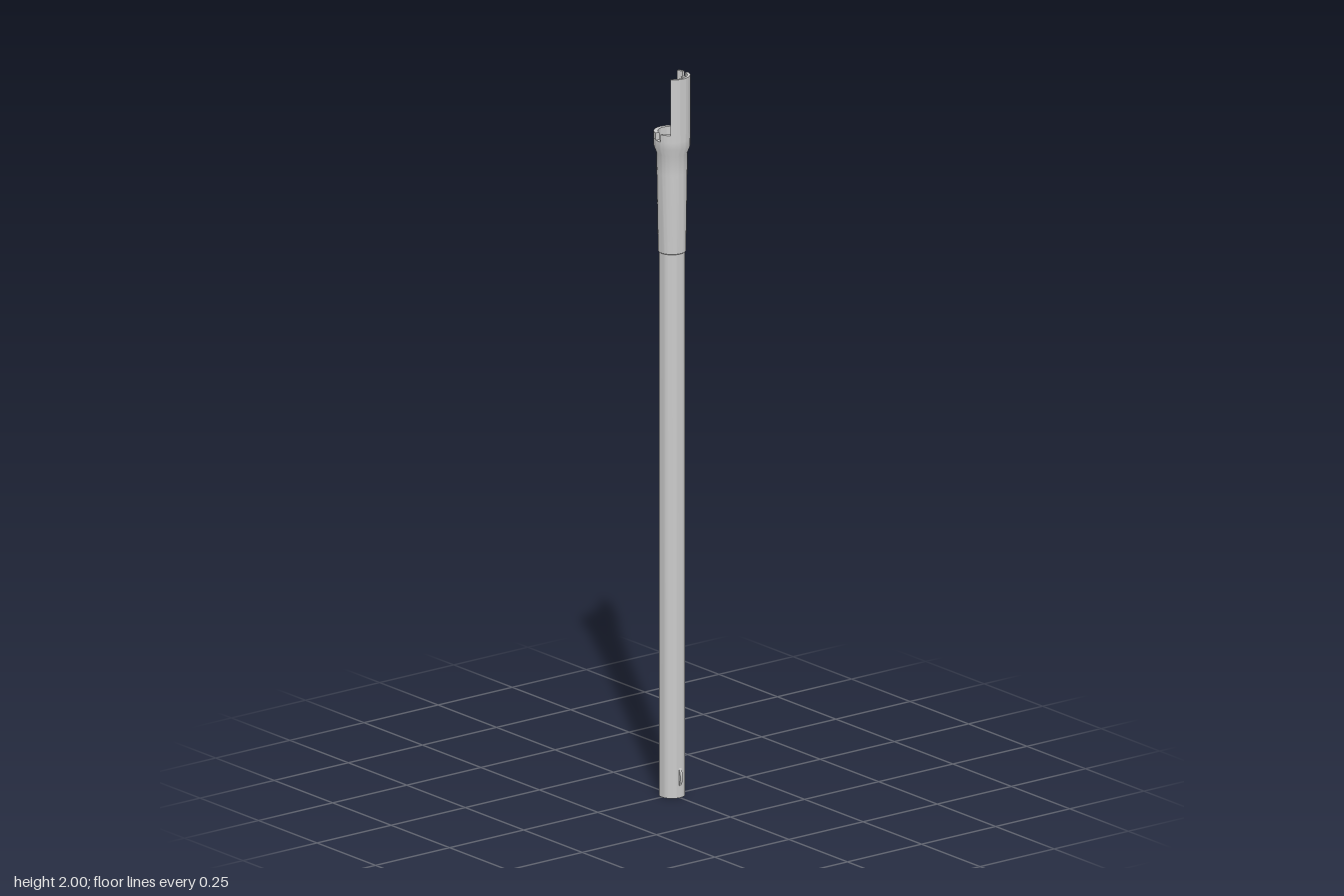
import * as THREE from 'three';
import { toCreasedNormals } from 'three/addons/utils/BufferGeometryUtils.js';

const RAD = Math.PI / 180;

export function createModel() {
  const model = new THREE.Group();
  const material = new THREE.MeshStandardMaterial({ color: 0xcccccc });

  function add(name, geometry) {
    const mesh = new THREE.Mesh(toCreasedNormals(geometry, 0.5), material);
    mesh.name = name;
    model.add(mesh);
    return mesh;
  }

  // Curved wall between two radii; angles in degrees from +x towards +z
  function curvedWall(name, r0, r1, a0, a1, y0, y1) {
    const shape = new THREE.Shape();
    shape.absarc(0, 0, r1, a0 * RAD, a1 * RAD, false);
    shape.absarc(0, 0, r0, a1 * RAD, a0 * RAD, true);
    shape.closePath();
    const geometry = new THREE.ExtrudeGeometry(shape, {
      depth: y1 - y0, bevelEnabled: false, curveSegments: Math.max(4, Math.round((a1 - a0) / 6)),
    });
    geometry.rotateX(Math.PI / 2).translate(0, y1, 0);
    return add(name, geometry);
  }

  // Hollow shaft with a widening sleeve and collar base, as one closed profile
  const profile = [
    [0.031, 0], [0.0345, 0], [0.0345, 1.51], [0.037, 1.512], [0.0405, 1.73], [0.041, 1.785],
    [0.0485, 1.805], [0.0485, 1.825], [0.0375, 1.825], [0.0375, 1.79],
    [0.0335, 1.79], [0.0335, 1.75], [0.031, 1.75], [0.031, 0],
  ].map(([r, y]) => new THREE.Vector2(r, y));
  add('shaft', new THREE.LatheGeometry(profile, 48));

  // Plug closing the bore below the socket
  add('socketFloor', new THREE.CylinderGeometry(0.0335, 0.0335, 0.01, 48).translate(0, 1.765, 0));

  // Collar rim, notched on the -x side
  curvedWall('collarRim', 0.0375, 0.0485, -168, 168, 1.825, 1.845);

  // Half-round guard, split by a slot on the +x side
  curvedWall('guardShell', 0.0405, 0.0485, 8, 133, 1.845, 2);
  curvedWall('guardStrip', 0.0405, 0.0485, -32, -9, 1.845, 2);

  // Latch seated in the guard slot
  add('latch', new THREE.BoxGeometry(0.013, 0.095, 0.014).translate(0.0425, 1.938, -0.001));

  // Small rounded catch near the foot of the shaft
  const fin = new THREE.Shape();
  fin.moveTo(0.033, 0.03);
  fin.quadraticCurveTo(0.049, 0.055, 0.033, 0.085);
  fin.closePath();
  const catchGeometry = new THREE.ExtrudeGeometry(fin, { depth: 0.008, bevelEnabled: false });
  catchGeometry.translate(0, 0, -0.004).rotateY(-Math.PI / 2);
  add('footCatch', catchGeometry);

  return model;
}
